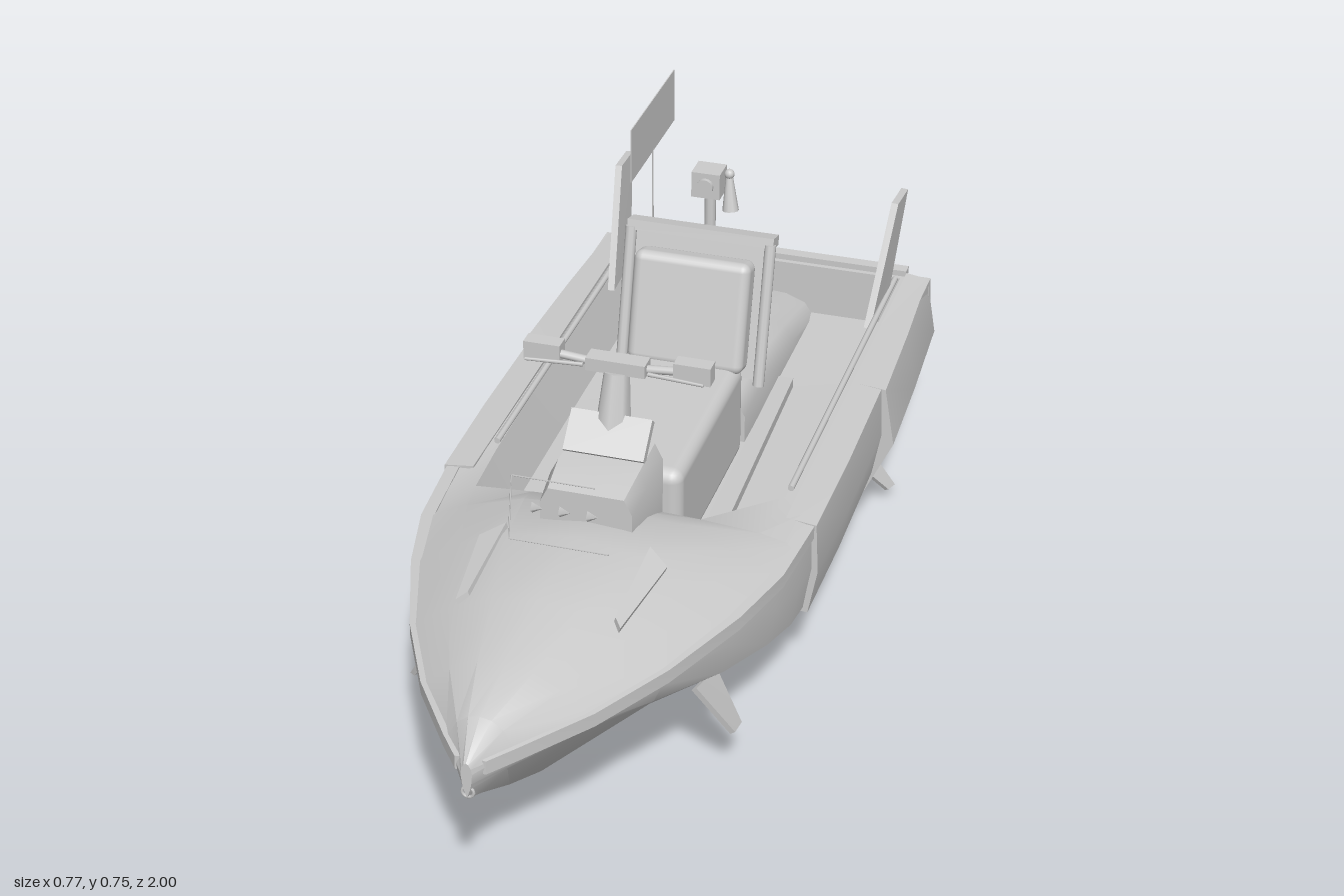
import * as THREE from 'three';
import { toCreasedNormals } from 'three/addons/utils/BufferGeometryUtils.js';
import { RoundedBoxGeometry } from 'three/addons/geometries/RoundedBoxGeometry.js';

const grey = new THREE.MeshStandardMaterial({ color: 0xcccccc, side: THREE.DoubleSide });

// Skin a row of closed rings (counter-clockwise seen from the last ring) and cap both ends
function loft(rings, crease = 0.5) {
  const n = rings[0].length, index = [];
  for (let i = 0; i < rings.length - 1; i++) {
    for (let j = 0; j < n; j++) {
      const a = i * n + j, b = i * n + (j + 1) % n;
      index.push(a, b, b + n, a, b + n, a + n);
    }
  }
  const last = (rings.length - 1) * n;
  for (let j = 1; j < n - 1; j++) index.push(0, j + 1, j, last, last + j, last + j + 1);
  const g = new THREE.BufferGeometry();
  g.setAttribute('position', new THREE.Float32BufferAttribute(rings.flat(2), 3));
  g.setIndex(index);
  return toCreasedNormals(g, crease);
}

// Ring at z from a right-hand half profile running from bottom centre to top centre
function mirrorRing(z, half) {
  const left = half.slice(1, -1).reverse().map(([x, y]) => [-x, y]);
  return [...half, ...left].map(([x, y]) => [x, y, z]);
}

// Thin plate through four corners
function blade(corners, t) {
  const p = corners.map(c => new THREE.Vector3(...c));
  const n = p[1].clone().sub(p[0]).cross(p[2].clone().sub(p[0])).normalize();
  return loft([-t / 2, t / 2].map(s => p.map(v => v.clone().addScaledVector(n, s).toArray())));
}

function rod(a, b, r0, r1 = r0, sides = 10) {
  const A = new THREE.Vector3(...a), B = new THREE.Vector3(...b), d = B.clone().sub(A);
  const g = new THREE.CylinderGeometry(r1, r0, d.length(), sides);
  g.applyQuaternion(new THREE.Quaternion().setFromUnitVectors(new THREE.Vector3(0, 1, 0), d.normalize()));
  return g.translate(...A.add(B).multiplyScalar(0.5).toArray());
}

export function createModel() {
  const root = new THREE.Group();
  const add = (name, geo, x = 0, y = 0, z = 0, tilt = 0) => {
    const m = new THREE.Mesh(geo, grey);
    m.name = name;
    m.position.set(x, y, z);
    m.rotation.x = tilt;
    root.add(m);
    return m;
  };
  const pair = (name, geo, x = 0, y = 0, z = 0) => {
    add(name + 'Left', geo, x, y, z);
    add(name + 'Right', geo, -x, y, z).scale.x = -1;
  };
  const box = (w, h, d) => new THREE.BoxGeometry(w, h, d);

  // Hull with open rear well: keel, chine, flank, gunwale, deck edge, deck or floor, centre
  const well = [[0.29, 0.34], [0.25, 0.23], [0, 0.23]];
  add('hull', loft([
    mirrorRing(-0.84, [[0, 0.005], [0.33, 0.13], [0.35, 0.22], [0.35, 0.34], ...well]),
    mirrorRing(-0.38, [[0, 0.005], [0.34, 0.145], [0.355, 0.23], [0.35, 0.34], ...well]),
    mirrorRing(0.06, [[0, 0.005], [0.34, 0.15], [0.355, 0.24], [0.352, 0.34], [0.28, 0.345], [0.24, 0.24], [0, 0.24]]),
    mirrorRing(0.2, [[0, 0.007], [0.332, 0.165], [0.345, 0.25], [0.343, 0.335], [0.27, 0.352], [0.16, 0.36], [0, 0.365]]),
    mirrorRing(0.3, [[0, 0.01], [0.315, 0.185], [0.328, 0.26], [0.328, 0.335], [0.25, 0.375], [0.14, 0.41], [0, 0.42]]),
    mirrorRing(0.45, [[0, 0.02], [0.275, 0.22], [0.29, 0.28], [0.29, 0.34], [0.21, 0.395], [0.12, 0.432], [0, 0.448]]),
    mirrorRing(0.64, [[0, 0.08], [0.205, 0.275], [0.22, 0.31], [0.225, 0.345], [0.16, 0.395], [0.08, 0.43], [0, 0.44]]),
    mirrorRing(0.8, [[0, 0.17], [0.125, 0.305], [0.135, 0.32], [0.145, 0.35], [0.1, 0.39], [0.05, 0.415], [0, 0.422]]),
    mirrorRing(0.93, [[0, 0.25], [0.045, 0.31], [0.05, 0.32], [0.06, 0.35], [0.04, 0.385], [0.02, 0.4], [0, 0.404]]),
    mirrorRing(1, [[0, 0.29], [0.006, 0.31], [0.008, 0.32], [0.01, 0.34], [0.008, 0.35], [0.004, 0.358], [0, 0.36]])
  ], 0.45));

  // Flat transom and its top lip
  const stern = [[0, 0.005], [0.33, 0.12], [0.355, 0.22], [0.35, 0.34], [0, 0.34]];
  add('transom', loft([mirrorRing(-0.845, stern), mirrorRing(-0.825, stern)]));
  add('transomLip', box(0.6, 0.015, 0.025), 0, 0.345, -0.848);

  // Side armour: large rear sponsons and thinner middle panels
  const sponson = (z, w) => [[0.30, 0.12], [0.33, 0.1], [w, 0.22], [w - 0.02, 0.34], [0.3, 0.347]]
    .map(([x, y]) => [x, y, z]);
  pair('sponson', loft([sponson(-0.84, 0.365), sponson(-0.6, 0.378), sponson(-0.375, 0.386)]));
  const panel = (z, o) => [[0.31, 0.15], [0.345 + o, 0.148], [0.362 + o, 0.24], [0.357 + o, 0.34], [0.3, 0.347]]
    .map(([x, y]) => [x, y, z]);
  pair('sidePanel', loft([panel(-0.38, 0), panel(-0.1, 0.003), panel(0.13, 0)]));

  // Rub rail sweeping forward to the bow
  const rail = [[0.348, 0.325, 0.13], [0.335, 0.325, 0.3], [0.298, 0.328, 0.45], [0.228, 0.333, 0.64],
    [0.148, 0.338, 0.8], [0.06, 0.343, 0.93], [0.022, 0.343, 0.98]];
  pair('bowRail', loft(rail.map(([x, y, z]) =>
    [[x - 0.02, y - 0.015, z], [x + 0.005, y - 0.013, z], [x + 0.005, y + 0.013, z], [x - 0.02, y + 0.016, z]])));
  add('bowRing', new THREE.TorusGeometry(0.01, 0.003, 6, 12), 0, 0.3, 0.995);

  // Raised deck vents
  pair('deckVent', blade([[0.13, 0.43, 0.42], [0.17, 0.415, 0.45], [0.145, 0.408, 0.64], [0.13, 0.414, 0.62]], 0.012));

  // Foot steps and grab rails inside the well
  pair('footStep', blade([[0.12, 0.25, -0.5], [0.15, 0.25, -0.5], [0.175, 0.27, 0.1], [0.135, 0.27, 0.1]], 0.02));
  pair('grabRail', rod([0.285, 0.352, -0.8], [0.285, 0.352, 0.04], 0.006));

  // Seat and the engine cover behind it
  add('seat', new RoundedBoxGeometry(0.22, 0.2, 0.43, 3, 0.025), 0, 0.32, -0.055);
  const cover = (z, h) => mirrorRing(z, [[0, 0.2], [0.11, 0.2], [0.11, h - 0.05], [0.09, h - 0.02], [0.05, h - 0.004], [0, h]]);
  add('engineCover', loft([cover(-0.83, 0.27), cover(-0.65, 0.31), cover(-0.45, 0.345), cover(-0.28, 0.34)], 0.7));

  // Backrest with padded cushion and side bars
  add('backrestFrame', box(0.27, 0.28, 0.025), 0, 0.51, -0.325, -0.25);
  add('backrestCushion', new RoundedBoxGeometry(0.23, 0.22, 0.06, 3, 0.018), 0, 0.51, -0.278, -0.25);
  add('backrestTop', box(0.29, 0.02, 0.04), 0, 0.64, -0.355, -0.25);
  pair('backrestBar', rod([0.138, 0.37, -0.27], [0.138, 0.64, -0.34], 0.011));

  // Lamp mast with camera head and horn
  add('mast', rod([0, 0.25, -0.405], [0, 0.71, -0.405], 0.011));
  add('lampHousing', box(0.056, 0.052, 0.05), 0, 0.73, -0.395);
  add('lampLens', rod([0, 0.73, -0.372], [0, 0.73, -0.362], 0.016, 0.016, 16));
  add('horn', rod([0.042, 0.67, -0.4], [0.036, 0.735, -0.41], 0.016, 0.007));
  add('hornJoint', new THREE.SphereGeometry(0.01, 10, 8), 0.036, 0.742, -0.41);

  // Console, dashboard and steering column
  const slab = (z, w, lo, hi) => mirrorRing(z, [[0, lo], [w, lo], [w, hi - 0.03], [w - 0.015, hi], [0, hi]]);
  add('console', loft([slab(0.2, 0.088, 0.34, 0.505), slab(0.3, 0.09, 0.38, 0.505), slab(0.375, 0.085, 0.4, 0.49)]));
  add('dashboard', blade([[-0.075, 0.505, 0.27], [0.075, 0.505, 0.27], [0.075, 0.56, 0.215], [-0.075, 0.56, 0.215]], 0.018));
  add('steeringColumn', rod([0, 0.48, 0.225], [0, 0.635, 0.19], 0.038, 0.024, 8));

  // Handlebar
  add('handlebarClamp', box(0.11, 0.025, 0.035), 0, 0.648, 0.185);
  pair('handlebar', rod([0.04, 0.645, 0.185], [0.12, 0.652, 0.185], 0.008));
  pair('handGrip', box(0.068, 0.036, 0.03), 0.139, 0.653, 0.18);
  pair('brakeLever', rod([0.06, 0.645, 0.2], [0.165, 0.645, 0.21], 0.004, 0.003, 6));

  // Slim sight frame and three markers ahead of the console
  add('sightTop', rod([-0.1, 0.572, 0.475], [0.05, 0.572, 0.475], 0.0015, 0.0015, 4));
  add('sightBase', rod([-0.09, 0.476, 0.525], [0.09, 0.476, 0.525], 0.0015, 0.0015, 4));
  add('sightPost', rod([-0.09, 0.476, 0.525], [-0.1, 0.572, 0.475], 0.0015, 0.0015, 4));
  for (const x of [-0.05, 0, 0.05]) {
    add('sightMarker', rod([x - 0.008, 0.525, 0.492], [x + 0.01, 0.525, 0.492], 0.011, 0.0005, 4));
  }

  // Swept tail fins
  pair('tailFin', blade([[0.27, 0.33, -0.62], [0.275, 0.33, -0.75], [0.292, 0.55, -0.82], [0.29, 0.555, -0.74]], 0.014));

  // Flag on a thin staff
  add('flag', box(0.002, 0.115, 0.3), -0.22, 0.652, -0.75);
  add('flagStaff', rod([-0.22, 0.33, -0.75], [-0.22, 0.6, -0.75], 0.0025, 0.0015, 6));

  // Stabiliser foils under the chines
  pair('frontFoil', blade([[0.24, 0.22, 0.515], [0.3, 0.11, 0.475], [0.3, 0.1, 0.43], [0.25, 0.2, 0.42]], 0.01));
  pair('rearFoil', blade([[0.285, 0.13, -0.44], [0.35, 0.03, -0.505], [0.357, 0.025, -0.535], [0.29, 0.12, -0.53]], 0.008));

  // Water-jet nozzle with hub and blades
  const ring = [[0.09, 0.16], [0.1, 0.16], [0.108, 0.08], [0.11, 0], [0.09, 0], [0.09, 0.16]]
    .map(([r, h]) => new THREE.Vector2(r, h));
  const nozzle = toCreasedNormals(new THREE.LatheGeometry(ring, 14), 0.5);
  add('jetNozzle', nozzle, 0, 0.138, -0.84, -Math.PI / 2);
  add('jetHub', rod([0, 0.138, -0.84], [0, 0.138, -0.97], 0.032, 0.014, 10));
  for (let i = 0; i < 5; i++) {
    const m = add('jetBlade', blade([[0.02, -0.012, -0.02], [0.09, -0.03, -0.02], [0.09, 0.03, 0.02], [0.02, 0.012, 0.02]], 0.005), 0, 0.138, -0.9);
    m.rotation.z = i * Math.PI * 2 / 5;
  }
  return root;
}
